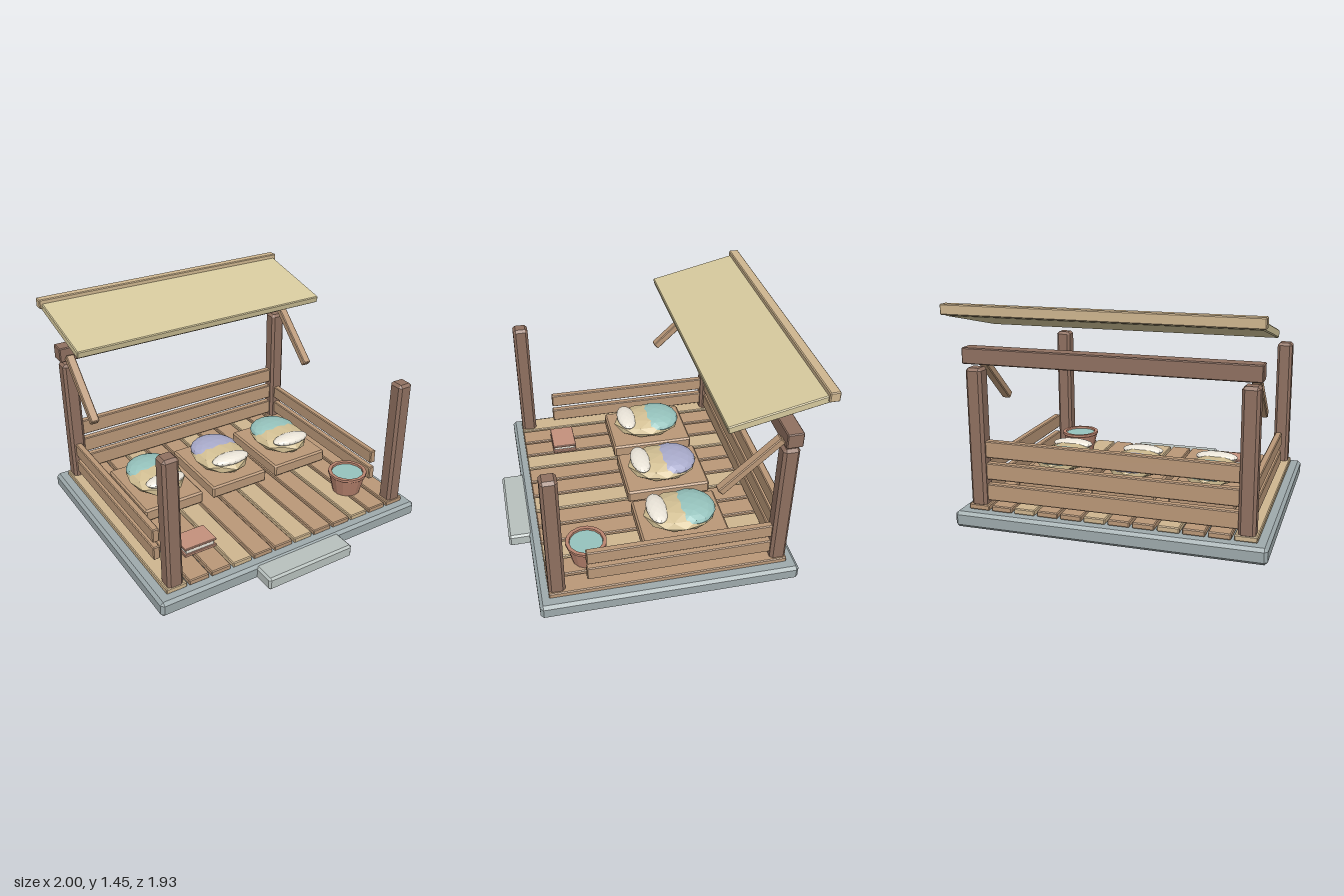
import * as THREE from 'three';
import { ConvexGeometry } from 'three/addons/geometries/ConvexGeometry.js';

const mat = (color, extra = {}) => new THREE.MeshStandardMaterial({ color, flatShading: true, ...extra });
const M = {
  stone: mat(0x9eaaac), step: mat(0xb8c1be), post: mat(0x8f7060), wood: mat(0xba9878),
  pale: mat(0xcfb68f), canvas: mat(0xd6c99d), bed: mat(0xd2bf93), teal: mat(0x96c3bd),
  lilac: mat(0xa9abcb), white: mat(0xece6da), clay: mat(0xb9846f), cover: mat(0xc4917c),
};

// Box with chamfered edges: three corner points per octant, wrapped in a hull
function chamferBox(w, h, d, c) {
  const pts = [];
  for (const x of [-1, 1]) for (const y of [-1, 1]) for (const z of [-1, 1]) {
    for (let k = 0; k < 3; k++) {
      pts.push(new THREE.Vector3(
        x * (w / 2 - (k === 0 ? 0 : c)),
        y * (h / 2 - (k === 1 ? 0 : c)),
        z * (d / 2 - (k === 2 ? 0 : c))));
    }
  }
  return new ConvexGeometry(pts);
}

export function createModel() {
  const root = new THREE.Group();
  root.name = 'restPavilion';

  const add = (name, geometry, material, x, y, z, parent = root) => {
    const mesh = new THREE.Mesh(geometry, material);
    mesh.name = name;
    mesh.position.set(x, y, z);
    parent.add(mesh);
    return mesh;
  };
  // Chamfered box given by its extents
  const block = (name, material, [x0, x1], [y0, y1], [z0, z1], c = 0.006, parent = root) =>
    add(name, chamferBox(x1 - x0, y1 - y0, z1 - z0, c), material,
      (x0 + x1) / 2, (y0 + y1) / 2, (z0 + z1) / 2, parent);

  // Stone base and front step
  block('base', M.stone, [-1, 1], [0, 0.105], [-0.87, 0.82], 0.02);
  block('frontStep', M.step, [-0.325, 0.325], [0.005, 0.095], [0.78, 0.96], 0.014);

  // Floor planks, every third one pale
  for (let i = 0; i < 12; i++) {
    const x = (i - 5.5) * 0.1565;
    block('floorPlank', i % 3 ? M.wood : M.pale, [x - 0.07, x + 0.07], [0.105, 0.143], [-0.8, 0.755]);
  }

  for (const s of [-1, 1]) {
    // Corner posts
    for (const z of [0.7, -0.745]) {
      block('post', M.post, [s * 0.863 - 0.053, s * 0.863 + 0.053], [0.125, 1.03], [z - 0.053, z + 0.053], 0.018);
    }
    // Side rails
    for (const y of [0.222, 0.355]) {
      block('sideRail', M.wood, [s * 0.863 - 0.023, s * 0.863 + 0.023], [y - 0.048, y + 0.048], [-0.7, 0.505]);
    }
    // Slanted roof brace
    const brace = add('roofBrace', chamferBox(0.058, 0.5, 0.05, 0.006), M.wood, s * 0.868, 0.925, -0.505);
    brace.rotation.x = -Math.PI / 4 - 0.03;
  }

  // Back rails and top beam
  for (const y of [0.22, 0.36, 0.505]) {
    block('backRail', M.wood, [-0.815, 0.815], [y - 0.055, y + 0.055], [-0.77, -0.72]);
  }
  block('topBeam', M.post, [-0.93, 0.93], [1.056, 1.158], [-0.8, -0.695]);

  // Tilted roof panel with its ridge bar
  const roof = add('roofPanel', chamferBox(1.89, 0.05, 0.63, 0.006), M.canvas, 0, 1.328, -0.63);
  roof.rotation.x = 0.225;
  block('ridgeBar', M.pale, [-0.962, 0.962], [1.38, 1.445], [-0.966, -0.9]);

  // Three sleeping places: tray, cushion, blanket and pillow
  const coarse = new THREE.IcosahedronGeometry(1, 1);
  const fine = new THREE.IcosahedronGeometry(1, 2);
  [M.teal, M.lilac, M.teal].forEach((blanketMaterial, i) => {
    const place = new THREE.Group();
    place.name = 'sleepingPlace';
    place.position.x = (i - 1) * 0.52;
    root.add(place);
    block('tray', M.wood, [-0.22, 0.22], [0.16, 0.25], [-0.475, 0.11], 0.012, place);
    add('cushion', coarse, M.bed, 0, 0.305, -0.18, place).scale.set(0.19, 0.075, 0.25);
    add('blanket', fine, blanketMaterial, 0, 0.325, -0.25, place).scale.set(0.172, 0.06, 0.17);
    add('pillow', fine, M.white, 0, 0.352, -0.022, place).scale.set(0.145, 0.034, 0.07);
  });

  // Clay water pot
  const pot = new THREE.Group();
  pot.name = 'waterPot';
  pot.position.set(0.66, 0.143, 0.475);
  root.add(pot);
  const profile = [[0, 0], [0.097, 0], [0.128, 0.128], [0.135, 0.135], [0.135, 0.152],
    [0.111, 0.152], [0.108, 0.12]].map(([r, y]) => new THREE.Vector2(r, y));
  add('potWall', new THREE.LatheGeometry(profile, 14), mat(0xb9846f, { side: THREE.DoubleSide }), 0, 0, 0, pot);
  add('water', new THREE.CylinderGeometry(0.109, 0.109, 0.012, 14), M.teal, 0, 0.132, 0, pot);

  // Book lying on the floor
  const book = new THREE.Group();
  book.name = 'book';
  root.add(book);
  block('bottomCover', M.cover, [-0.69, -0.46], [0.143, 0.162], [0.38, 0.55], 0.003, book);
  block('pages', M.white, [-0.68, -0.475], [0.162, 0.19], [0.387, 0.543], 0.003, book);
  block('topCover', M.cover, [-0.69, -0.46], [0.19, 0.206], [0.38, 0.55], 0.003, book);

  return root;
}
